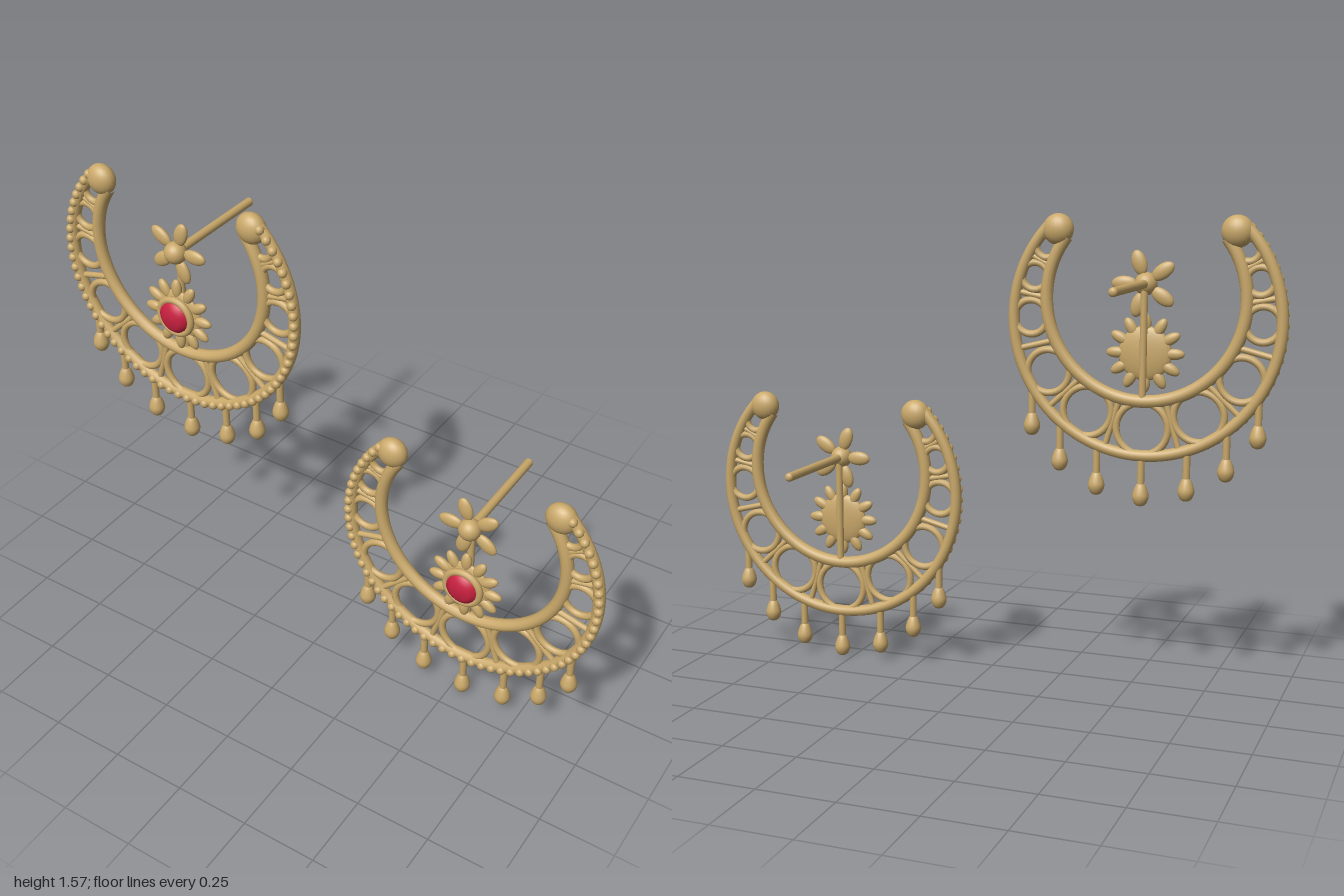
import * as THREE from 'three';

const gold = new THREE.MeshStandardMaterial({ color: 0xc9a86a });
gold.name = 'gold';
const red = new THREE.MeshStandardMaterial({ color: 0xc8203f });
red.name = 'red stone';

// Crescent layout: two eccentric circles in one plane
const Z = 0.164, CY = 0.604, OUTER = 0.436, SHIFT = 0.066, INNER = 0.325;
const V = (x, y, z = Z) => new THREE.Vector3(x, y, z);
const rad = THREE.MathUtils.degToRad;

// Point at a distance from the crescent centre, angle measured from straight down
const polar = (a, r, z = Z) => V(Math.sin(a) * r, CY - Math.cos(a) * r, z);
// Distance from the crescent centre to the inner rim at that angle
const innerDist = (a) => -SHIFT * Math.cos(a) +
  Math.sqrt(INNER ** 2 - (SHIFT * Math.sin(a)) ** 2);

function add(parent, name, geometry, pos, material = gold) {
  const mesh = new THREE.Mesh(geometry, material);
  mesh.name = name;
  mesh.position.copy(pos);
  parent.add(mesh);
  return mesh;
}

function ellipsoid(parent, name, pos, rx, ry, rz, turn = 0) {
  const mesh = add(parent, name, new THREE.SphereGeometry(1, 20, 14), pos);
  mesh.scale.set(rx, ry, rz);
  mesh.rotation.z = turn;
  return mesh;
}

function rod(parent, name, a, b, r) {
  const d = b.clone().sub(a);
  const mesh = add(parent, name, new THREE.CylinderGeometry(r, r, d.length(), 12),
    a.clone().lerp(b, 0.5));
  mesh.quaternion.setFromUnitVectors(V(0, 1, 0), d.normalize());
  return mesh;
}

// Open rim running from one tip round the bottom to the other
function rim(parent, name, cy, r, half, thickness) {
  const pts = [];
  for (let i = 0; i <= 32; i++) {
    const a = rad(half) * (i / 16 - 1);
    pts.push(V(Math.sin(a) * r, cy - Math.cos(a) * r));
  }
  add(parent, name, new THREE.TubeGeometry(
    new THREE.CatmullRomCurve3(pts), 80, thickness, 12), V(0, 0, 0));
}

function petals(parent, name, count, cy, start, dist, len, wide, z) {
  for (let i = 0; i < count; i++) {
    const a = start + i * Math.PI * 2 / count;
    ellipsoid(parent, name, V(Math.cos(a) * dist, cy + Math.sin(a) * dist, z),
      len, wide, 0.014, a);
  }
}

function crescent(g) {
  rim(g, 'outerRim', CY, OUTER, 134, 0.019);
  rim(g, 'innerRim', CY + SHIFT, INNER, 127, 0.021);
  for (const s of [-1, 1]) ellipsoid(g, 'tipBall', V(s * 0.288, 0.888), 0.051, 0.051, 0.037);

  // Granulation along the front of the outer rim
  for (let i = 0; i < 57; i++) {
    const a = rad(-132 + i * 264 / 56);
    add(g, 'rimBead', new THREE.SphereGeometry(0.0155, 10, 8), polar(a, OUTER + 0.005, Z + 0.013));
  }

  // Openwork rings and struts between the rims
  const angles = [0, 31.5, 61, 90, 110, 125];
  const seen = (a) => (a === 0 ? [0] : [-a, a]);
  for (const deg of angles) for (const d of seen(deg)) {
    const a = rad(d), t = innerDist(a);
    add(g, 'openworkRing', new THREE.TorusGeometry((OUTER - t) / 2 - 0.003, 0.012, 10, 32),
      polar(a, (OUTER + t) / 2));
  }
  for (const deg of [16.5, 47, 76, 101, 118]) for (const d of seen(deg)) {
    const a = rad(d);
    rod(g, 'openworkStrut', polar(a, innerDist(a)), polar(a, OUTER), 0.01);
  }
}

// Hanging drops: a thin stem and a pear-shaped bulb
function drops(g) {
  const profile = new THREE.SplineCurve([[0, -0.04], [0.017, -0.033], [0.027, -0.01],
    [0.022, 0.015], [0.012, 0.035], [0, 0.041]].map(p => new THREE.Vector2(...p))).getPoints(20);
  profile.forEach(p => { p.x = Math.max(p.x, 0); });
  const bulb = new THREE.LatheGeometry(profile, 20);
  for (const [x, y] of [[0, 0.041], [0.149, 0.068], [0.275, 0.14], [0.372, 0.253]]) {
    for (const s of x ? [-1, 1] : [1]) {
      const top = CY - Math.sqrt(OUTER ** 2 - x * x);
      rod(g, 'dropStem', V(s * x, y + 0.02), V(s * x, top), 0.012);
      add(g, 'dropBulb', bulb, V(s * x, y));
    }
  }
}

function earring(name, side) {
  const g = new THREE.Group();
  g.name = name;
  crescent(g);
  drops(g);

  // Stud flower with its ear post
  petals(g, 'flowerPetal', 5, 0.72, side > 0 ? Math.PI : 0, 0.069, 0.042, 0.024, 0.172);
  ellipsoid(g, 'flowerCentre', V(0, 0.72, 0.178), 0.037, 0.037, 0.036);
  const post = V(0, 0.72, -0.212);
  rod(g, 'earPost', V(0, 0.72, 0.17), post, 0.0145);
  ellipsoid(g, 'postTip', post, 0.0145, 0.0145, 0.0105);
  rod(g, 'linkRod', V(0, 0.72, 0.16), V(0, 0.345, 0.16), 0.012);

  // Sunburst setting and red stone
  const cy = 0.498;
  petals(g, 'settingPetal', 12, cy, 0, 0.094, 0.035, 0.018, 0.186);
  ellipsoid(g, 'settingBack', V(0, cy, 0.184), 0.088, 0.088, 0.02);
  add(g, 'bezel', new THREE.TorusGeometry(0.06, 0.012, 12, 40), V(0, cy, 0.203));
  const cut = [[0.054, 0], [0.052, 0.017], [0.032, 0.031], [0, 0.032]];
  add(g, 'stone', new THREE.LatheGeometry(cut.map(p => new THREE.Vector2(...p)), 32),
    V(0, cy, 0.199), red).rotation.x = Math.PI / 2;
  return g;
}

export function createModel() {
  const model = new THREE.Group();
  model.name = 'earrings';
  const left = earring('leftEarring', 1);
  left.position.x = 0.539;
  const right = earring('rightEarring', -1);
  right.position.set(-0.539, 0.63, 0);
  model.add(left, right);
  return model;
}
